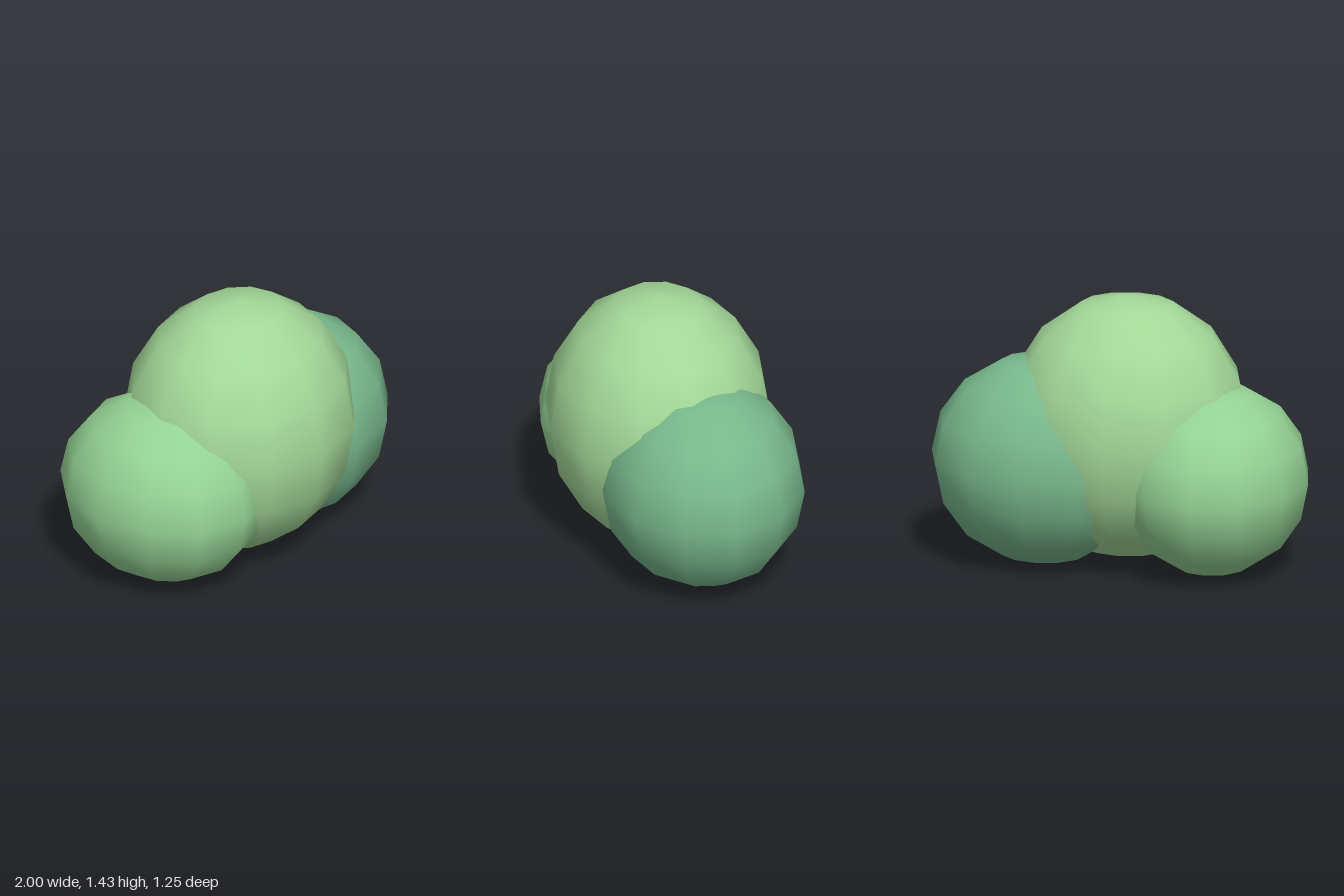
import * as THREE from 'three';

// One smooth, low-poly ellipsoid of foliage.
function clump(name, color, center, radii) {
  const geometry = new THREE.SphereGeometry(1, 12, 8);
  geometry.scale(...radii);
  const mesh = new THREE.Mesh(geometry, new THREE.MeshStandardMaterial({ color }));
  mesh.name = name;
  mesh.position.set(...center);
  return mesh;
}

export function createModel() {
  const bush = new THREE.Group();
  bush.name = 'bush';
  bush.add(
    // tall clump in the middle
    clump('middleClump', 0xa3d898, [-0.02, 0.735, 0.035], [0.645, 0.7, 0.59]),
    // darker clump on the left (+x)
    clump('leftClump', 0x78b88c, [0.405, 0.555, -0.055], [0.595, 0.555, 0.535]),
    // smaller clump on the right (-x)
    clump('rightClump', 0x94d294, [-0.497, 0.5, -0.055], [0.503, 0.5, 0.573]),
  );
  return bush;
}
